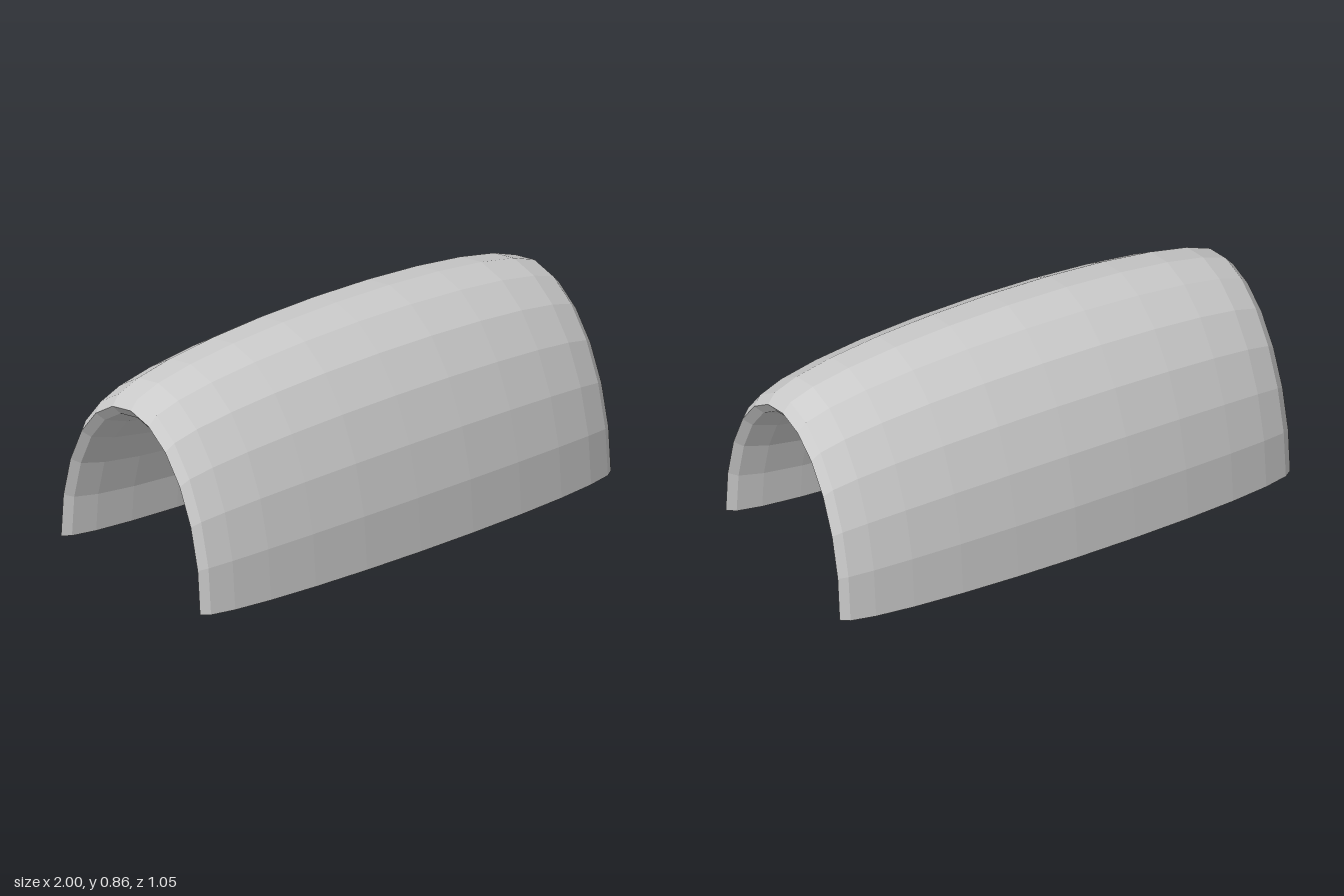
import * as THREE from 'three';

const RING = 0.431;   // arch centre-line half span
const TUBE = 0.095;   // half thickness of the lens section
const SIDES = 24;
const STEPS = 12;
const RISE = 1.636;   // arch height relative to half span

export function createModel() {
  const group = new THREE.Group();
  group.name = 'archedShell';
  const material = new THREE.MeshStandardMaterial({ color: 0xcccccc, flatShading: true });

  // Stretch a half ring into a tall, wide arch running along x
  const add = (geometry, name) => {
    geometry.scale(1, RISE, 1 / TUBE).rotateY(Math.PI / 2);
    const mesh = new THREE.Mesh(geometry, material);
    mesh.name = name;
    group.add(mesh);
  };

  // Arched body with an elliptical section
  add(new THREE.TorusGeometry(RING, TUBE, SIDES, STEPS, Math.PI), 'arch');

  // Flat feet closing both ends on the ground
  for (const side of [1, -1]) {
    const foot = new THREE.CircleGeometry(TUBE, SIDES);
    foot.rotateX(Math.PI / 2).translate(side * RING, 0, 0);
    add(foot, side > 0 ? 'backFoot' : 'frontFoot');
  }
  return group;
}
